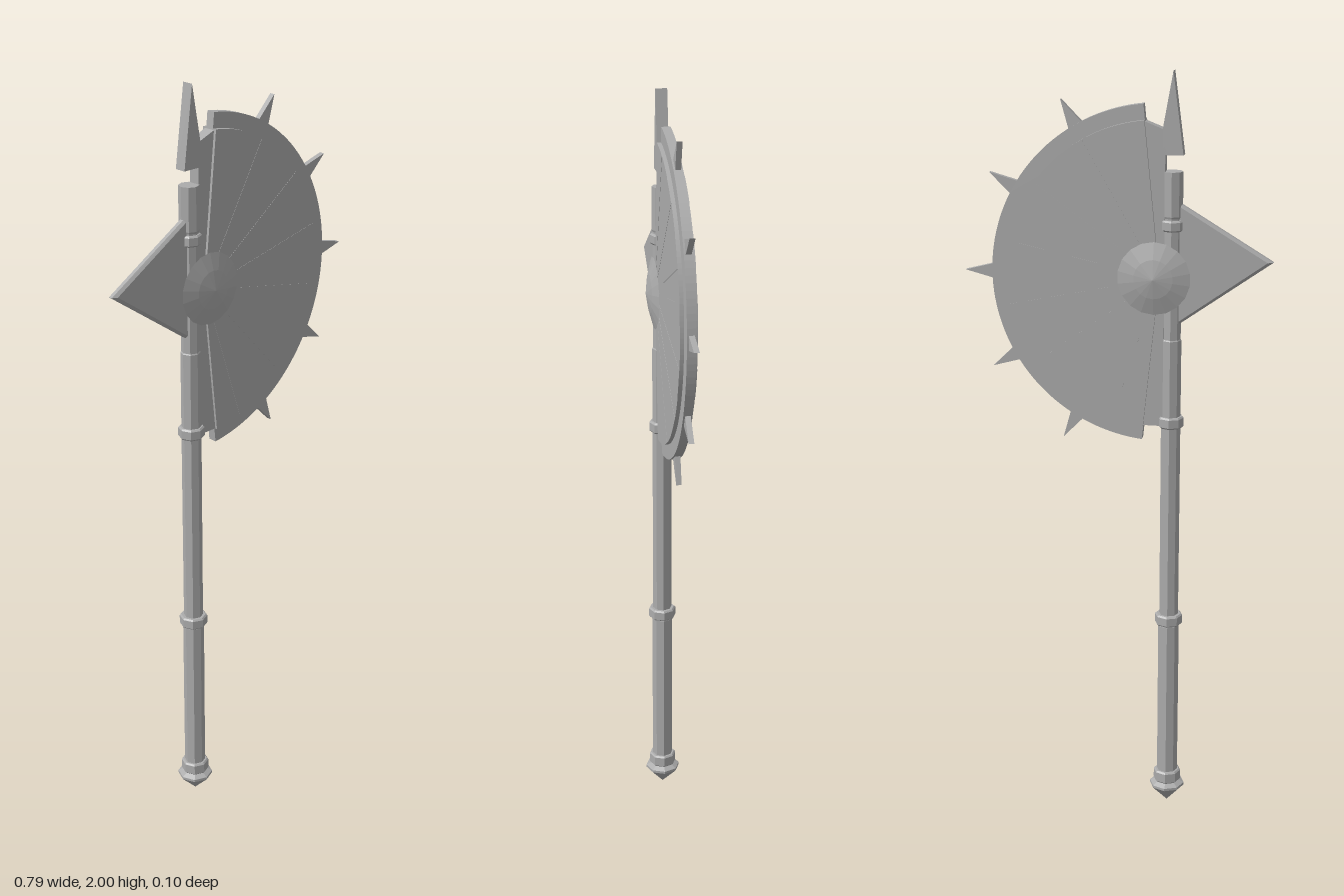
import * as THREE from 'three';

const steel = new THREE.MeshStandardMaterial({ color: 0xacacac, flatShading: true });
steel.name = 'steel';

const POLE_X = -0.14;
const CX = -0.11, CY = 1.49; // centre of the half-round blade

export function createModel() {
  const model = new THREE.Group();
  model.name = 'battleAxe';

  function add(name, geometry, parent = model) {
    const mesh = new THREE.Mesh(geometry, steel);
    mesh.name = name;
    parent.add(mesh);
    return mesh;
  }

  // Flat plate centred on z = 0, cut from an outline
  function plate(shape, half, curveSegments = 12) {
    const g = new THREE.ExtrudeGeometry(shape, { depth: half * 2, bevelEnabled: false, curveSegments });
    return g.translate(0, 0, -half);
  }
  const outline = (pts) => new THREE.Shape(pts.map(([x, y]) => new THREE.Vector2(x, y)));

  // Eight-sided turned part standing on the pole axis
  function turned(name, pts) {
    const g = new THREE.LatheGeometry(pts.map(([r, y]) => new THREE.Vector2(r, y)), 8);
    add(name, g).position.x = POLE_X;
  }

  // Handle
  turned('pommel', [[0, 0], [0.047, 0.05], [0.047, 0.057], [0.03, 0.066], [0, 0.066]]);
  turned('grip', [[0, 0.06], [0.028, 0.06], [0.028, 0.535], [0.024, 0.545], [0, 0.545]]);
  turned('shaft', [[0, 0.54], [0.0255, 0.54], [0.0255, 1.327], [0.0235, 1.33], [0.0235, 1.64],
    [0.0255, 1.645], [0.0255, 1.756], [0, 1.756]]);
  for (const [y, h, r] of [[0.082, 0.034, 0.037], [0.554, 0.03, 0.037], [1.11, 0.03, 0.034], [1.622, 0.028, 0.031]]) {
    const b = 0.004;
    turned('collar', [[0.02, y - h / 2], [r - b, y - h / 2], [r, y - h / 2 + b],
      [r, y + h / 2 - b], [r - b, y + h / 2], [0.02, y + h / 2]]);
  }

  // Half-round blade: fan of thin wedges
  const blade = new THREE.Group();
  blade.name = 'blade';
  blade.position.set(CX, CY, 0);
  model.add(blade);

  const END = THREE.MathUtils.degToRad(84.2);
  const COUNT = 14, STEP = (2 * END) / COUNT;
  for (let i = 0; i < COUNT; i++) {
    const a = -END + i * STEP;
    const s = new THREE.Shape();
    s.moveTo(0, 0);
    s.lineTo(0.393 * Math.cos(a), 0.393 * Math.sin(a));
    s.absarc(0, 0, 0.393, a, a + STEP, false);
    s.closePath();
    add('fanWedge', plate(s, i % 2 ? 0.022 : 0.0214, 3), blade);
  }

  // Thinner cutting rim around the fan
  const rim = new THREE.Shape();
  rim.absarc(0, 0, 0.432, -END, END, false);
  rim.absarc(0, 0, 0.385, END, -END, true);
  rim.closePath();
  add('rim', plate(rim, 0.0115, 36), blade);

  // Teeth around the rim
  for (let i = -2; i <= 2; i++) {
    const tooth = add('rimSpike', plate(outline([[0.41, -0.024], [0.503, 0], [0.41, 0.024]]), 0.007), blade);
    tooth.rotation.z = i * Math.PI / 6;
  }

  // Spine joining the fan to the shaft, and the horn above it
  add('spine', plate(outline([[-0.122, 1.1], [-0.07, 1.1], [-0.07, 1.878], [-0.122, 1.858]]), 0.015));
  add('topHorn', plate(outline([[-0.167, 1.797], [-0.115, 1.797], [-0.115, 1.86], [-0.14, 2]]), 0.015));

  // Rear spike with a small edge bevel
  const rear = new THREE.ExtrudeGeometry(
    outline([[-0.383, 1.537], [-0.15, 1.37], [-0.15, 1.677]]),
    { depth: 0.01, bevelEnabled: true, bevelThickness: 0.006, bevelSize: 0.01, bevelOffset: -0.002, bevelSegments: 1 });
  add('rearSpike', rear.translate(0, 0, -0.005));

  // Low conical boss on each face
  for (const side of [1, -1]) {
    const profile = [[0, -0.02], [0.06, -0.004], [0.093, 0], [0.05, 0.012], [0, 0.021]];
    const g = new THREE.LatheGeometry(profile.map(([r, h]) => new THREE.Vector2(r, h)), 18);
    const boss = add('boss', g);
    boss.rotation.x = side * Math.PI / 2;
    boss.position.set(-0.097, CY, side * 0.027);
  }

  return model;
}
